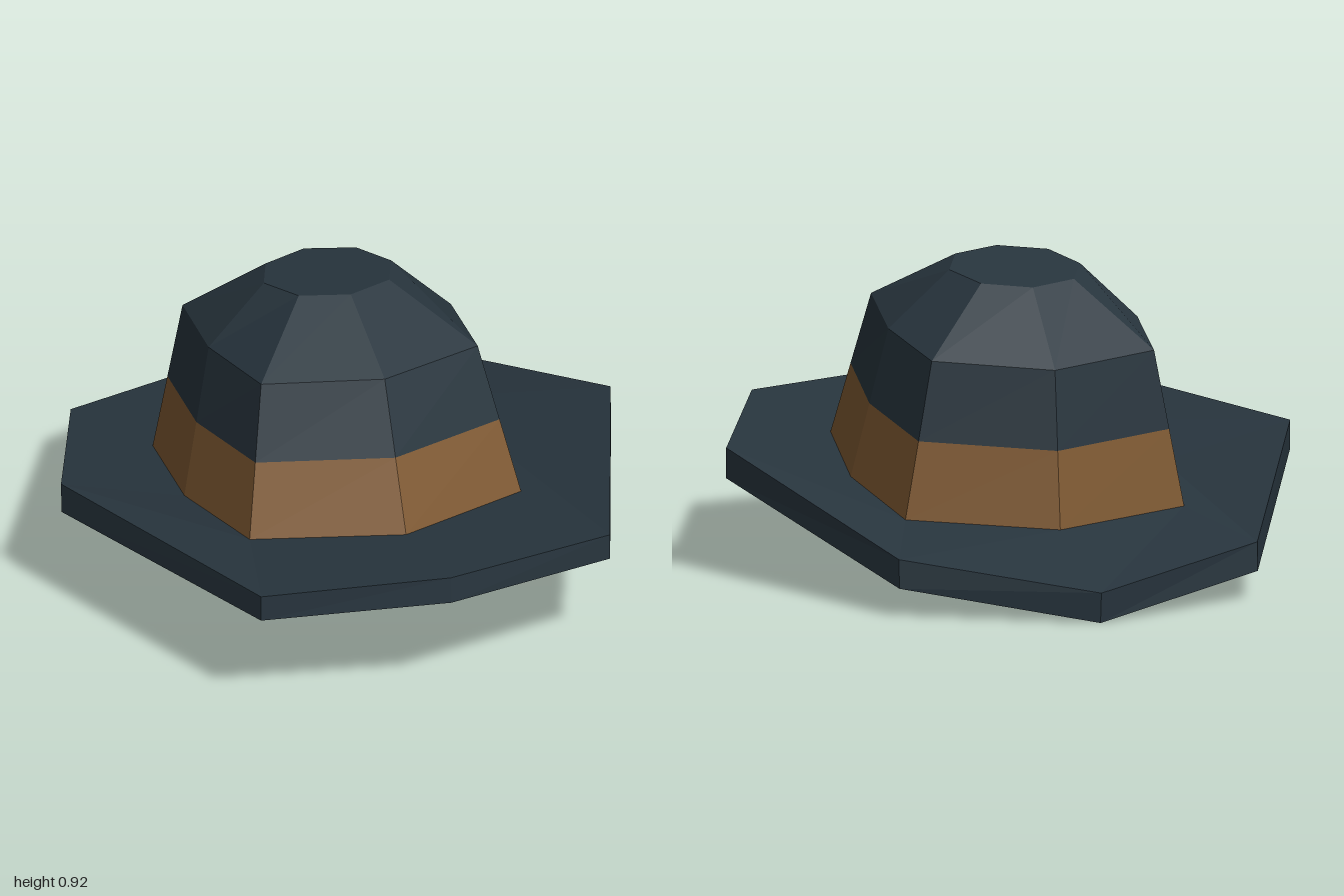
import * as THREE from 'three';

// Mirrors a half outline (front, front corner, side, back corner, back) into an eight-point ring
function ring(half) {
  const left = half.map(p => new THREE.Vector3(...p));
  const right = left.slice(1, -1).reverse().map(p => new THREE.Vector3(-p.x, p.y, p.z));
  return [...left, ...right];
}

// Blends two rings
const blend = (a, b, t) => a.map((p, i) => p.clone().lerp(b[i], t));

// Faceted skin over a stack of rings, optionally capped at either end
function skin(rings, { bottom = false, top = false } = {}) {
  const pos = [];
  const tri = (...pts) => pts.forEach(p => pos.push(p.x, p.y, p.z));
  const middle = r => r[0].clone().add(r[4]).multiplyScalar(0.5);
  const n = rings[0].length;
  for (let i = 0; i < n; i++) {
    const j = (i + 1) % n;
    for (let k = 0; k + 1 < rings.length; k++) {
      const a = rings[k], b = rings[k + 1];
      tri(a[i], a[j], b[j]);
      tri(a[i], b[j], b[i]);
    }
    const first = rings[0], last = rings[rings.length - 1];
    if (bottom) tri(middle(first), first[j], first[i]);
    if (top) tri(middle(last), last[i], last[j]);
  }
  const geo = new THREE.BufferGeometry();
  geo.setAttribute('position', new THREE.Float32BufferAttribute(pos, 3));
  geo.computeVertexNormals();
  return geo;
}

export function createModel() {
  const felt = new THREE.MeshStandardMaterial({ color: 0x28353e, flatShading: true });
  felt.name = 'dark slate felt';
  const leather = new THREE.MeshStandardMaterial({ color: 0x805a32, flatShading: true });
  leather.name = 'brown band';

  // Brim outlines, drooping to the back
  const brimUnder = ring([[0, 0.335, 1], [0.54, 0.308, 0.865], [0.85, 0.29, 0.025], [0.54, 0.085, -0.75], [0, 0, -0.99]]);
  const brimTop = ring([[0, 0.415, 0.995], [0.54, 0.387, 0.865], [0.85, 0.38, 0.02], [0.54, 0.17, -0.745], [0, 0.09, -1]]);

  // Crown rings, tilted back
  const base = ring([[0, 0.36, 0.615], [0.42, 0.333, 0.44], [0.472, 0.275, 0.03], [0.42, 0.217, -0.38], [0, 0.197, -0.55]]);
  const shoulder = ring([[0, 0.783, 0.435], [0.335, 0.762, 0.305], [0.375, 0.718, -0.03], [0.335, 0.678, -0.36], [0, 0.658, -0.492]]);
  const tip = ring([[0, 0.915, 0.148], [0.14, 0.907, 0.09], [0.197, 0.887, -0.05], [0.14, 0.868, -0.19], [0, 0.86, -0.25]]);
  const bandTop = blend(base, shoulder, 0.495);

  const group = new THREE.Group();
  group.name = 'hat';
  const add = (name, geo, mat) => {
    const mesh = new THREE.Mesh(geo, mat);
    mesh.name = name;
    group.add(mesh);
  };
  add('brim', skin([brimUnder, brimTop, base], { bottom: true }), felt);
  add('hatBand', skin([base, bandTop]), leather);
  add('crown', skin([bandTop, shoulder, tip], { top: true }), felt);
  return group;
}
